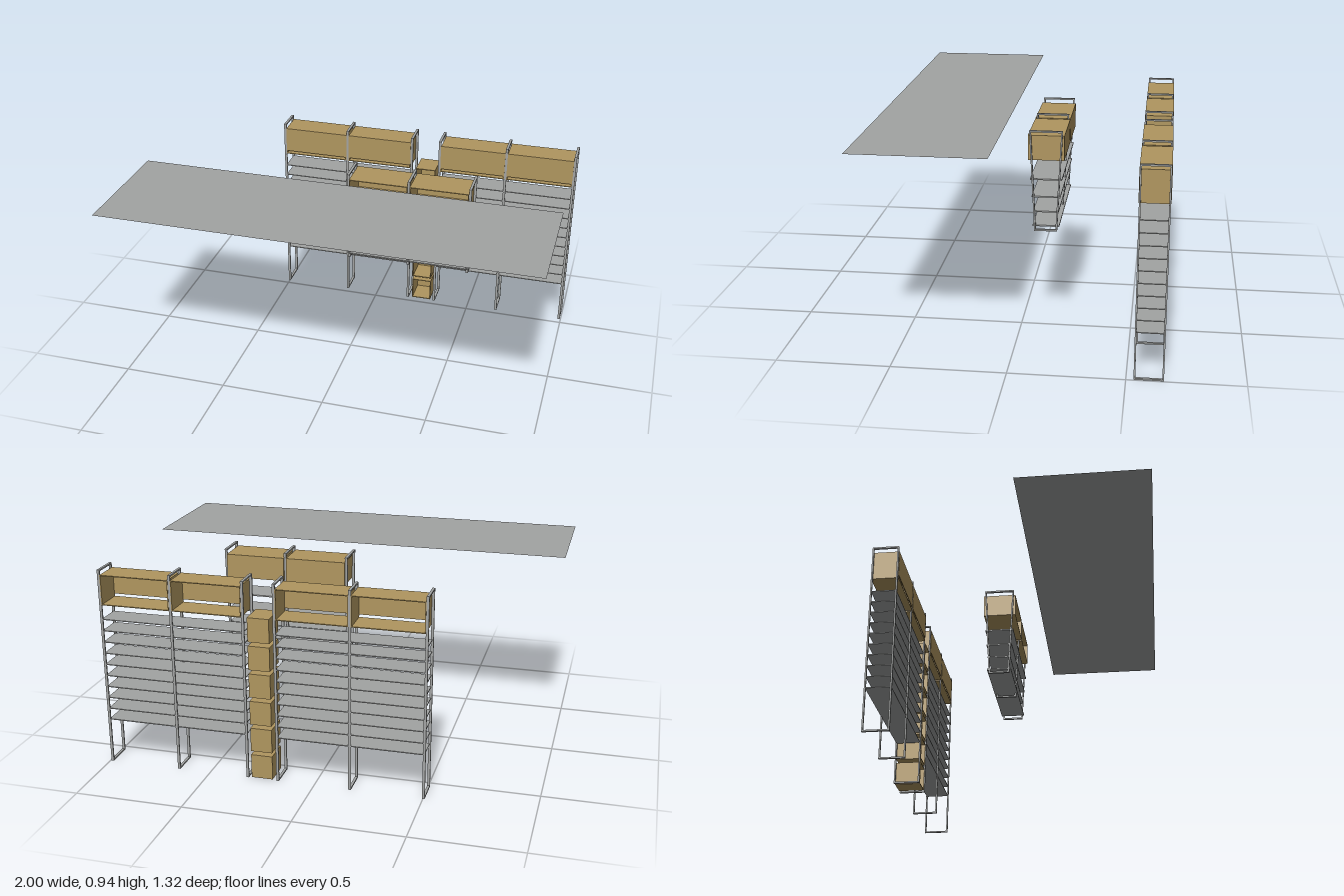
import * as THREE from 'three';

const tan = new THREE.MeshStandardMaterial({ color: 0xb0965f });
tan.name = 'tan panel';
const grey = new THREE.MeshStandardMaterial({ color: 0xa2a4a3 });
grey.name = 'grey metal';
const greySheet = new THREE.MeshStandardMaterial({ color: 0xa2a4a3, side: THREE.DoubleSide });
greySheet.name = 'grey sheet';

// Box given by its minimum and maximum on each axis
function block(parent, name, material, [x0, x1], [y0, y1], [z0, z1]) {
  const mesh = new THREE.Mesh(new THREE.BoxGeometry(x1 - x0, y1 - y0, z1 - z0), material);
  mesh.position.set((x0 + x1) / 2, (y0 + y1) / 2, (z0 + z1) / 2);
  mesh.name = name;
  parent.add(mesh);
}

function group(parent, name) {
  const g = new THREE.Group();
  g.name = name;
  parent.add(g);
  return g;
}

// Closed loop frame in the y-z plane, possibly tapering towards the bottom
function loopFrame(parent, x, [y0, y1], bottomZ, topZ) {
  const t = 0.007, w = 0.012;
  const shape = new THREE.Shape();
  const hole = new THREE.Path();
  const trace = (path, d) => {
    path.moveTo(bottomZ[0] + d, y0 + d);
    path.lineTo(bottomZ[1] - d, y0 + d);
    path.lineTo(topZ[1] - d, y1 - d);
    path.lineTo(topZ[0] + d, y1 - d);
    path.closePath();
  };
  trace(shape, 0);
  trace(hole, t);
  shape.holes.push(hole);
  const geometry = new THREE.ExtrudeGeometry(shape, { depth: w, bevelEnabled: false });
  // shape x becomes world z, extrusion runs along x
  geometry.rotateY(-Math.PI / 2).translate(x + w / 2, 0, 0);
  const mesh = new THREE.Mesh(geometry, grey);
  mesh.name = 'loopFrame';
  parent.add(mesh);
}

// Thin-walled box with one open long side; closed is +1 for a front panel, -1 for a back panel
function openBox(parent, name, x, y, z, closed, panelBottom = y[0]) {
  const t = 0.004;
  const box = group(parent, name);
  block(box, 'boxTop', tan, x, [y[1] - t, y[1]], z);
  block(box, 'boxFloor', tan, x, [y[0], y[0] + t], z);
  block(box, 'boxSide', tan, [x[0], x[0] + t], [y[0] + t, y[1] - t], z);
  block(box, 'boxSide', tan, [x[1] - t, x[1]], [y[0] + t, y[1] - t], z);
  const panelZ = closed > 0 ? [z[1] - t, z[1]] : [z[0], z[0] + t];
  block(box, 'boxPanel', tan, [x[0] + t, x[1] - t], [Math.max(panelBottom, y[0] + t), y[1] - t], panelZ);
}

export function createModel() {
  const model = new THREE.Group();
  model.name = 'shelvingSet';
  const top = 0.937;

  // Two tall racks with ten shelves and a pair of boxes on top
  const rackZ = [-0.658, -0.532];
  for (const posts of [[-0.502, -0.166, 0.172], [0.316, 0.653, 0.99]]) {
    const rack = group(model, 'tallRack');
    for (const x of posts) loopFrame(rack, x, [0, top], rackZ, rackZ);
    for (let i = 0; i < 10; i++) {
      const y = 0.213 + i * 0.0545;
      block(rack, 'shelf', grey, [posts[0], posts[2]], [y - 0.002, y + 0.002], [-0.655, -0.535]);
    }
    for (let i = 0; i < 2; i++) {
      openBox(rack, 'topBox', [posts[i] + 0.006, posts[i + 1] - 0.006], [0.773, 0.914], [-0.66, -0.53], 1, 0.79);
    }
  }

  // Column of six small boxes between the racks
  const column = group(model, 'boxColumn');
  for (let i = 0; i < 6; i++) {
    const y = 0.004 + i * 0.1315;
    openBox(column, 'columnBox', [0.196, 0.296], [y, y + 0.113], [-0.658, -0.533], -1);
  }

  // Hanging rack with tapered frames
  const hanging = group(model, 'hangingRack');
  const posts = [-0.025, 0.27, 0.562];
  for (const x of posts) loopFrame(hanging, x, [0.48, top], [-0.167, -0.066], [-0.19, -0.044]);
  [[0.503, 0.059], [0.569, 0.056], [0.637, 0.063], [0.717, 0.07]].forEach(([y, half]) => {
    block(hanging, 'shelf', grey, [posts[0], posts[2]], [y - 0.003, y + 0.003], [-0.117 - half, -0.117 + half]);
  });
  for (let i = 0; i < 2; i++) {
    openBox(hanging, 'hangingBox', [posts[i] + 0.006, posts[i + 1] - 0.006], [0.803, 0.914], [-0.196, -0.037], -1);
  }

  // Flat canopy sheet in front
  const canopy = new THREE.Mesh(new THREE.PlaneGeometry(2, 0.59).rotateX(-Math.PI / 2), greySheet);
  canopy.position.set(0, top, 0.363);
  canopy.name = 'canopySheet';
  model.add(canopy);

  return model;
}
